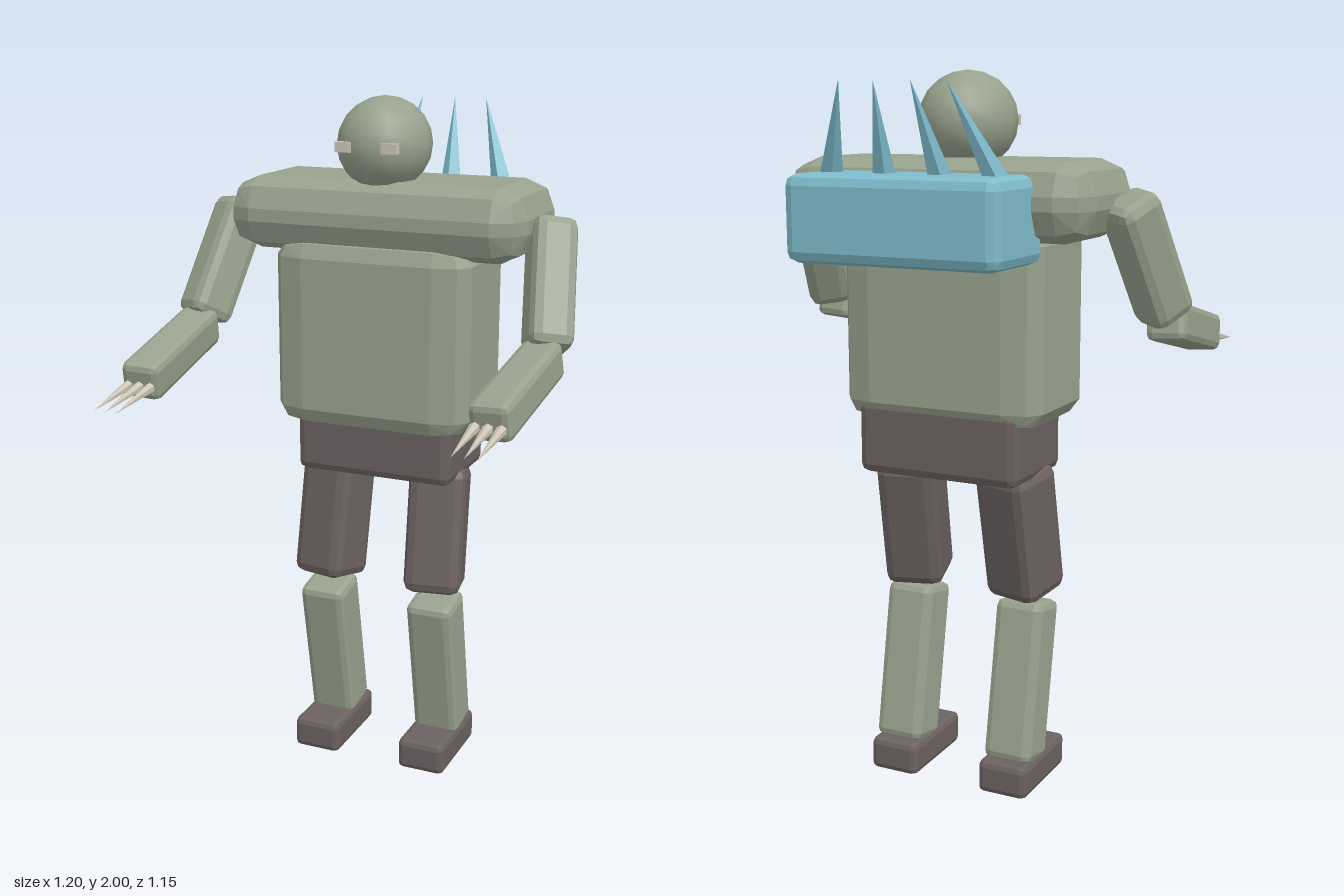
import * as THREE from 'three';
import { ConvexGeometry } from 'three/addons/geometries/ConvexGeometry.js';

const V = (x, y, z) => new THREE.Vector3(x, y, z);

function mat(name, color, flatShading = false) {
  const m = new THREE.MeshStandardMaterial({ color, flatShading });
  m.name = name;
  return m;
}

// Box with two-step bevelled edges; r holds the bevel along each axis
function bevelBox(w, h, d, r) {
  const [rx, ry, rz] = Array.isArray(r) ? r : [r, r, r];
  const e = Math.SQRT1_2, c = 1 / Math.sqrt(3);
  const dirs = [[1, 0, 0], [0, 1, 0], [0, 0, 1], [e, e, 0], [e, 0, e], [0, e, e], [c, c, c]];
  const pts = [];
  for (const sx of [-1, 1]) for (const sy of [-1, 1]) for (const sz of [-1, 1])
    for (const [x, y, z] of dirs)
      pts.push(V(sx * (w / 2 - rx + rx * x), sy * (h / 2 - ry + ry * y), sz * (d / 2 - rz + rz * z)));
  return new ConvexGeometry(pts);
}

export function createModel() {
  const model = new THREE.Group();
  model.name = 'hunchedFigure';

  const skin = mat('greyGreenSkin', 0x98a28d);
  const cloth = mat('darkBrownCloth', 0x6b6160);
  const shell = mat('blueShell', 0x7fbccd);
  const bone = mat('paleBone', 0xcdc4b4);

  const add = (name, geo, material, pos, parent = model) => {
    const m = new THREE.Mesh(geo, material);
    m.name = name;
    m.position.copy(pos);
    parent.add(m);
    return m;
  };

  // Box given by its extents
  const block = (name, material, [x0, x1], [y0, y1], [z0, z1], r, parent) =>
    add(name, bevelBox(x1 - x0, y1 - y0, z1 - z0, r), material,
      V((x0 + x1) / 2, (y0 + y1) / 2, (z0 + z1) / 2), parent);

  // Turn a mesh built along y so that it runs from a to b
  const aim = (mesh, a, b) => {
    mesh.position.copy(a).add(b).multiplyScalar(0.5);
    mesh.quaternion.setFromUnitVectors(V(0, 1, 0), b.clone().sub(a).normalize());
    return mesh;
  };
  const limb = (name, material, a, b, w, d, r, parent) =>
    aim(add(name, bevelBox(w, a.distanceTo(b), d, r), material, a, parent), a, b);
  const spike = (name, material, a, b, radius, sides, parent) => {
    const geo = new THREE.ConeGeometry(radius, a.distanceTo(b), sides).toNonIndexed();
    geo.computeVertexNormals();
    return aim(add(name, geo, material, a, parent), a, b);
  };

  // Trunk
  block('shoulders', skin, [-0.445, 0.445], [1.565, 1.772], [-0.385, 0.018], 0.085);
  block('torso', skin, [-0.297, 0.297], [1.06, 1.61], [-0.342, 0.02], [0.1, 0.055, 0.06]);
  block('pelvis', cloth, [-0.24, 0.24], [0.912, 1.12], [-0.335, -0.03], 0.025);

  // Head
  const head = add('head', new THREE.SphereGeometry(1, 12, 10), skin, V(0, 1.868, -0.128));
  head.scale.set(0.133, 0.132, 0.146);

  // Limbs and eyes, mirrored
  for (const s of [1, -1]) {
    const side = s > 0 ? 'left' : 'right';
    const P = (x, y, z) => V(s * x, y, z);

    add(side + 'Eye', new THREE.BoxGeometry(0.045, 0.028, 0.026), bone, P(0.068, 1.868, -0.001));

    const leg = new THREE.Group();
    leg.name = side + 'Leg';
    model.add(leg);
    limb(side + 'Thigh', cloth, P(0.163, 0.935, -0.178), P(0.171, 0.56, -0.11), 0.17, 0.17, 0.03, leg);
    limb(side + 'Shin', skin, P(0.175, 0.535, -0.108), P(0.175, 0.085, -0.193), 0.143, 0.138, 0.022, leg);
    const c = s * 0.174;
    block(side + 'Foot', cloth, [c - 0.074, c + 0.074], [0, 0.096], [-0.285, 0], 0.018, leg);

    const arm = new THREE.Group();
    arm.name = side + 'Arm';
    model.add(arm);
    limb(side + 'UpperArm', skin, P(0.477, 1.675, -0.175), P(0.528, 1.353, 0.002), 0.125, 0.135, 0.03, arm);
    limb(side + 'Forearm', skin, P(0.525, 1.34, 0.005), P(0.503, 1.252, 0.4), 0.113, 0.106, 0.02, arm);
    for (const i of [-1, 0, 1])
      spike(side + 'Claw', bone, P(0.503 + i * 0.035, 1.243, 0.4), P(0.503 + i * 0.034, 1.215, 0.573), 0.015, 6, arm);
  }

  // Spiked pack on the back
  const pack = new THREE.Group();
  pack.name = 'backPack';
  model.add(pack);
  block('packBody', shell, [-0.304, 0.304], [1.513, 1.74], [-0.58, -0.3], 0.03, pack);
  for (const [x, tip] of [[-0.24, -0.15], [-0.08, -0.052], [0.087, 0.052], [0.25, 0.15]])
    spike('packSpike', shell, V(x, 1.71, -0.43), V(tip, 1.972, -0.542), 0.035, 5, pack);
  spike('sideStud', shell, V(0.27, 1.675, -0.405), V(0.322, 1.675, -0.41), 0.03, 5, pack);

  return model;
}
